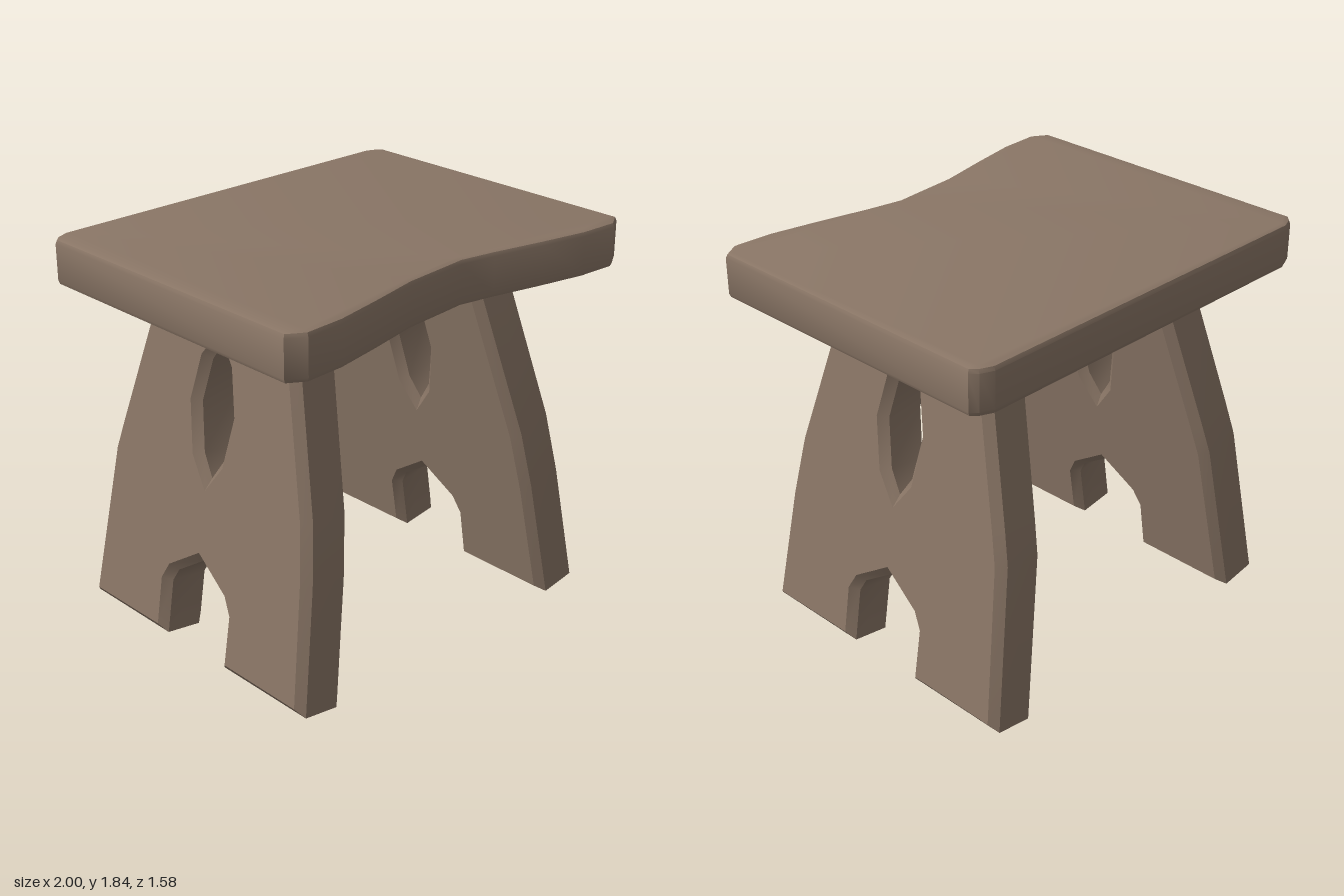
import * as THREE from 'three';
import { toCreasedNormals } from 'three/addons/utils/BufferGeometryUtils.js';

const vectors = (pts) => pts.map(([x, y]) => new THREE.Vector2(x, y));

// Board of a given total thickness, centred on z = 0, with chamfered rims kept inside the outline.
function board(outline, holes, thickness, bevel, segments) {
  const shape = new THREE.Shape(vectors(outline));
  holes.forEach((h) => shape.holes.push(new THREE.Path(vectors(h))));
  const geo = new THREE.ExtrudeGeometry(shape, {
    depth: thickness - 2 * bevel, bevelEnabled: true, bevelThickness: bevel,
    bevelSize: bevel, bevelOffset: -bevel, bevelSegments: segments,
  });
  geo.translate(0, 0, -(thickness - 2 * bevel) / 2);
  return toCreasedNormals(geo, 0.5);
}

export function createModel() {
  const model = new THREE.Group();
  const wood = new THREE.MeshStandardMaterial({ color: 0x8a7666 });
  wood.name = 'brown wood';

  // Seat: rounded corners and a shallow hollow along the front edge, given as [x, z]
  const seatHalf = [
    [0.08, 0.645], [0.25, 0.675], [0.5, 0.73], [0.73, 0.775], [0.92, 0.785], [1, 0.735],
    [1, -0.735], [0.97, -0.765], [0.91, -0.79],
  ];
  const seatOutline = [
    ...seatHalf,
    ...seatHalf.slice().reverse().map(([x, z]) => [-x, z]),
  ];
  seatOutline[seatOutline.length - 1] = [-0.02, 0.655];
  const seatGeo = board(seatOutline.map(([x, z]) => [x, -z]), [], 0.215, 0.024, 2);
  seatGeo.rotateX(-Math.PI / 2);
  const seat = new THREE.Mesh(seatGeo, wood);
  seat.name = 'seat';
  seat.position.y = 1.738;
  model.add(seat);

  // Leg panel: flared sides, arched foot cutout and a pointed hole, given as [z, height]
  const tilt = 0.155;
  const footY = 0.018;
  const onPanel = ([z, y]) => [-z, (y - footY) / Math.cos(tilt)];
  const panel = [
    [0.70, footY], [0.65, 0.6], [0.61, 0.87], [0.375, 1.73],
    [-0.446, 1.73], [-0.663, 0.935], [-0.70, 0.79], [-0.766, footY],
    [-0.235, footY], [-0.235, 0.28], [-0.2, 0.345], [-0.035, 0.455],
    [0.13, 0.345], [0.165, 0.28], [0.165, footY],
  ].map(onPanel);
  const hole = [
    [-0.035, 1.465], [0.03, 1.37], [0.073, 1.17], [0.03, 0.945],
    [-0.035, 0.845], [-0.1, 0.945], [-0.143, 1.17], [-0.1, 1.37],
  ].map(onPanel);
  const legGeo = board(panel, [hole], 0.256, 0.038, 1);
  legGeo.rotateY(Math.PI / 2);

  for (const side of [1, -1]) {
    const leg = new THREE.Mesh(legGeo, wood);
    leg.name = side > 0 ? 'leftLeg' : 'rightLeg';
    leg.position.set(side * 0.787, footY, 0);
    leg.rotation.z = side * tilt;
    model.add(leg);
  }
  return model;
}
